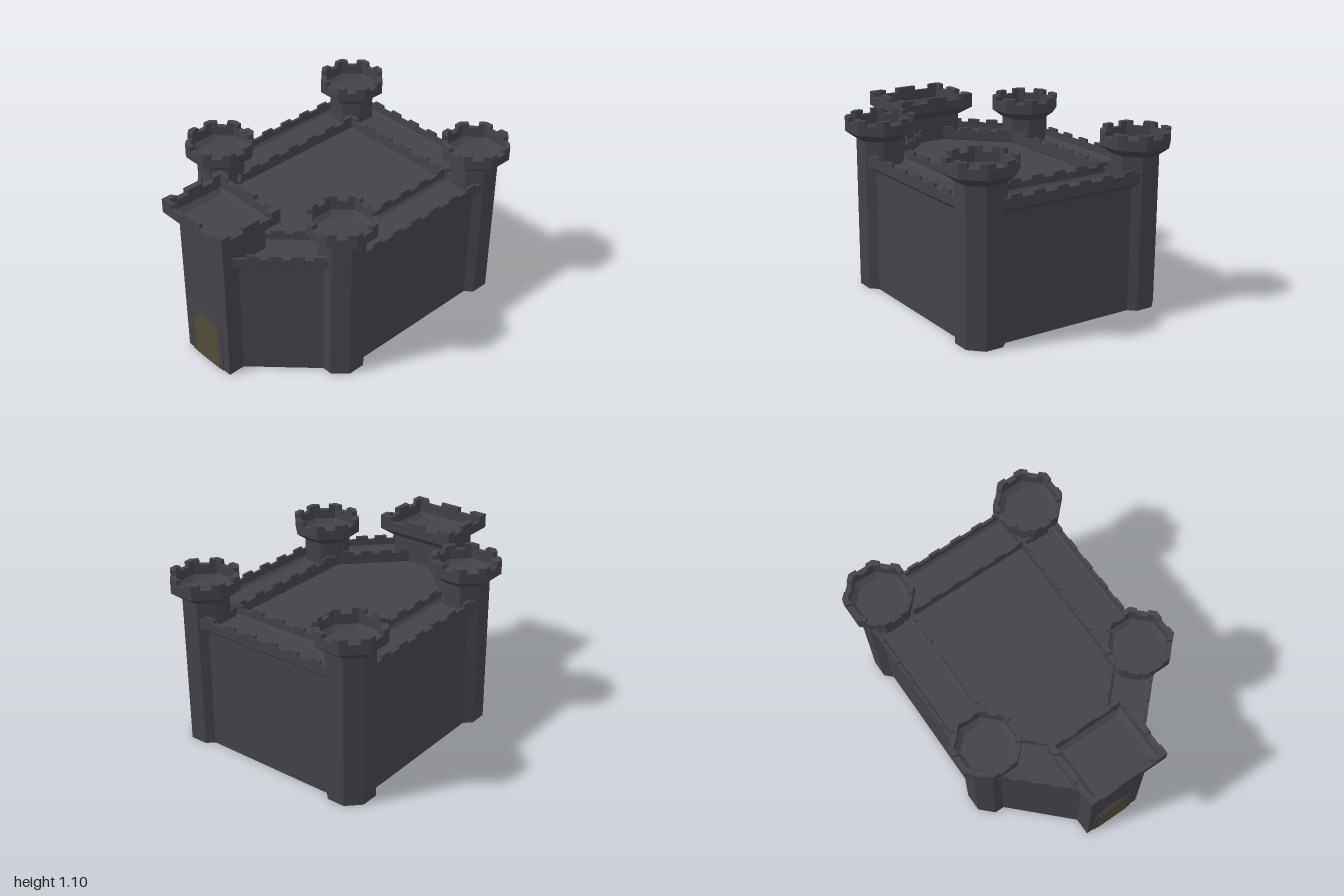
import * as THREE from 'three';

const stone = new THREE.MeshStandardMaterial({ color: 0x434248, flatShading: true });
stone.name = 'dark stone';
const wood = new THREE.MeshStandardMaterial({ color: 0x534c38 });
wood.name = 'brown wood';

function add(parent, name, geometry, material = stone) {
  const mesh = new THREE.Mesh(geometry, material);
  mesh.name = name;
  parent.add(mesh);
  return mesh;
}

// Tower with any number of sides; all widths are measured to the flat faces
function tower(name, sides, shaft, cap, rim, merlonSpans) {
  const group = new THREE.Group();
  group.name = name;
  const half = Math.PI / sides;
  const profile = [
    [0, 0], [shaft, 0], [shaft, 0.96], [cap, 1.01], [cap, 1.072],
    [cap - rim, 1.072], [cap - rim, 1.01], [shaft, 0.985], [0, 0.985],
  ].map(([w, y]) => new THREE.Vector2(w / Math.cos(half), y));
  add(group, 'towerBody', new THREE.LatheGeometry(profile, sides, half));

  // Merlons follow each side, wrapping round the corners
  for (let i = 0; i < sides; i++) {
    for (const [t0, t1] of merlonSpans) {
      const point = (w, t) => new THREE.Vector2(w, w * t * Math.tan(half));
      const shape = new THREE.Shape([
        point(cap - rim, t0), point(cap, t0), point(cap, t1), point(cap - rim, t1),
      ]);
      const geo = new THREE.ExtrudeGeometry(shape, { depth: 0.033, bevelEnabled: false });
      geo.rotateX(-Math.PI / 2).rotateY(i * 2 * half).translate(0, 1.07, 0);
      add(group, 'towerMerlon', geo);
    }
  }
  return group;
}

// Curtain wall with a walkway between two flared parapets
function wall(name, [ax, az], [bx, bz], merlons) {
  const group = new THREE.Group();
  group.name = name;
  const length = Math.hypot(bx - ax, bz - az);
  const body = 0.097, cap = 0.132, rim = 0.018;
  const side = [
    [body, 0], [body, 0.775], [cap, 0.805], [cap, 0.865],
    [cap - rim, 0.865], [cap - rim, 0.825], [body, 0.81],
  ];
  const mirrored = side.map(([u, y]) => [-u, y]).reverse();
  const shape = new THREE.Shape([...side, ...mirrored].map(([u, y]) => new THREE.Vector2(u, y)));
  add(group, 'wallBody', new THREE.ExtrudeGeometry(shape, { depth: length, bevelEnabled: false }));
  for (const s of merlons(length)) {
    for (const k of [-1, 1]) {
      const m = add(group, 'wallMerlon', new THREE.BoxGeometry(rim, 0.024, 0.078));
      m.position.set(k * (cap - rim / 2), 0.875, s);
    }
  }
  group.position.set(ax, 0, az);
  group.rotation.y = Math.atan2(bx - ax, bz - az);
  return group;
}

// Evenly spaced merlon positions
const spaced = (n, first, pitch) => Array.from({ length: n }, (_, i) => first + i * pitch);
const centred = (n, pitch) => (length) => spaced(n, length / 2 - ((n - 1) * pitch) / 2, pitch);

// Flat plate with an elliptical arched top
function archPlate(halfWidth, spring, top, depth) {
  const shape = new THREE.Shape();
  shape.moveTo(-halfWidth, 0);
  shape.lineTo(halfWidth, 0);
  shape.lineTo(halfWidth, spring);
  shape.absellipse(0, spring, halfWidth, top - spring, 0, Math.PI, false);
  shape.lineTo(-halfWidth, 0);
  return new THREE.ExtrudeGeometry(shape, { depth, bevelEnabled: false, curveSegments: 10 });
}

export function createModel() {
  const castle = new THREE.Group();
  castle.name = 'castle';
  const tx = 0.547, backZ = -0.797, frontZ = 0.345;

  // Corner towers
  const cornerSpans = [[-1, -0.42], [0.42, 1]];
  for (const [s, side] of [[1, 'left'], [-1, 'right']]) {
    for (const [z, end] of [[backZ, 'Back'], [frontZ, 'Front']]) {
      const t = tower(side + end + 'Tower', 8, 0.14, 0.203, 0.032, cornerSpans);
      t.position.set(s * tx, 0, z);
      castle.add(t);
    }
    // Side wall and slanted front wall
    castle.add(wall(side + 'Wall', [s * 0.543, backZ], [s * 0.543, frontZ], centred(6, 0.163)));
    castle.add(wall(side + 'FrontWall', [s * 0.545, frontZ], [s * 0.09, 0.8], () => spaced(4, 0.12, 0.127)));
  }
  castle.add(wall('backWall', [-tx, backZ], [tx, backZ], centred(6, 0.16)));

  // Gatehouse
  const gate = tower('gatehouse', 4, 0.158, 0.217, 0.029, [[-1, -0.7], [-0.28, 0.28], [0.7, 1]]);
  gate.scale.x = 1.24;
  gate.position.z = 0.783;
  castle.add(gate);

  // Arched doorway
  add(castle, 'doorFrame', archPlate(0.143, 0.275, 0.385, 0.008)).position.z = 0.939;
  add(castle, 'door', archPlate(0.112, 0.245, 0.35, 0.006), wood).position.z = 0.944;

  // Raised courtyard floor inside the walls
  const floor = new THREE.Shape([
    [-0.5, 0.75], [-0.5, -0.37], [-0.15, -0.71], [0.15, -0.71], [0.5, -0.37], [0.5, 0.75],
  ].map(([x, y]) => new THREE.Vector2(x, y)));
  const floorGeo = new THREE.ExtrudeGeometry(floor, { depth: 0.02, bevelEnabled: false });
  add(castle, 'courtyardFloor', floorGeo.rotateX(-Math.PI / 2)).position.y = 0.78;

  return castle;
}
